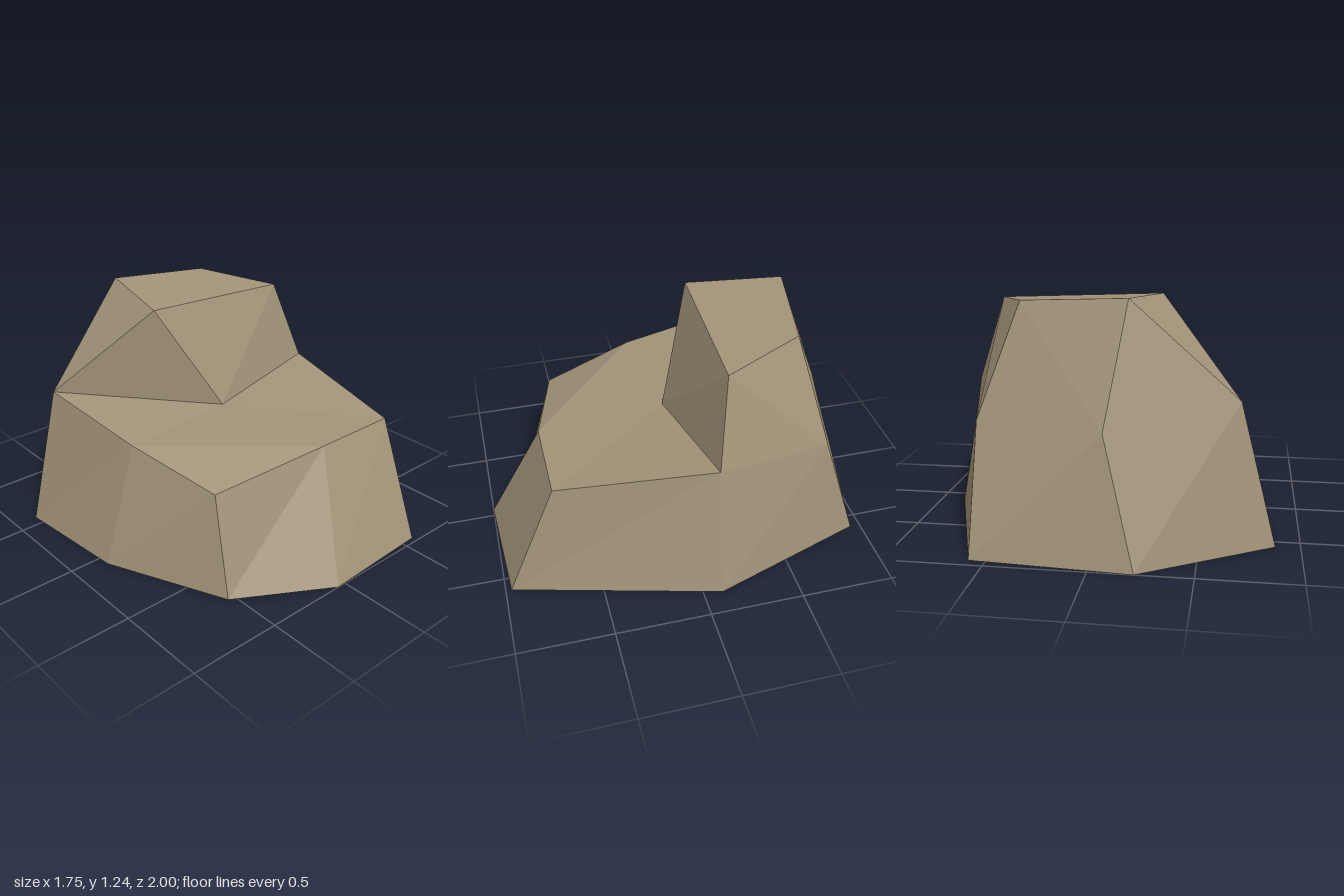
import * as THREE from 'three';

const stone = new THREE.MeshStandardMaterial({ color: 0xa39479, flatShading: true, side: THREE.DoubleSide });
stone.name = 'stone';

// Rings run clockwise seen from above, starting at the back.
const base = [[-0.22, 0, -1], [0.585, 0, -0.945], [0.87, 0, -0.1], [0.585, 0, 0.97],
  [-0.05, 0, 1], [-0.54, 0, 0.71], [-0.82, 0, 0.07], [-0.875, 0, -0.57]];
const rim = [[-0.06, 0.64, -0.9], [0.585, 0.64, -0.735], [0.745, 0.72, -0.1], [0.585, 0.64, 0.71],
  [0.105, 0.64, 0.71], [-0.505, 0.53, 0.57], [-0.63, 0.64, 0.07], [-0.69, 0.735, -0.57]];
const peak = [[-0.155, 1.24, -0.7], [0.39, 1.21, -0.595], [0.585, 1.175, -0.17], [-0.27, 1.21, -0.19]];
const notch = [0.03, 0.645, 0.015]; // where the peak meets the ledge

// Flat-shaded mesh from convex faces given counter-clockwise.
function facets(name, faces) {
  const positions = [];
  for (const f of faces) {
    for (let i = 1; i < f.length - 1; i++) positions.push(...f[0], ...f[i], ...f[i + 1]);
  }
  const geometry = new THREE.BufferGeometry();
  geometry.setAttribute('position', new THREE.Float32BufferAttribute(positions, 3));
  geometry.computeVertexNormals();
  const mesh = new THREE.Mesh(geometry, stone);
  mesh.name = name;
  return mesh;
}

export function createModel() {
  const rock = new THREE.Group();
  rock.name = 'rock';

  // Sloping sides, open underneath
  rock.add(facets('sides', base.map((b, i) => {
    const j = (i + 1) % base.length;
    return [base[j], b, rim[i], rim[j]];
  })));

  // Low ledge at the front
  rock.add(facets('ledge', [
    [rim[7], rim[6], notch],
    [rim[6], rim[4], notch],
    [rim[6], rim[5], rim[4]],
    [notch, rim[4], rim[3]],
    [notch, rim[3], rim[2]],
  ]));

  // Raised peak at the back
  rock.add(facets('peak', [
    [notch, rim[2], peak[2]],
    [notch, peak[2], peak[3]],
    [notch, peak[3], rim[7]],
    [rim[7], peak[3], peak[0]],
    [rim[7], peak[0], rim[0]],
    [rim[0], peak[0], peak[1], rim[1]],
    [rim[1], peak[1], peak[2], rim[2]],
    [peak[0], peak[3], peak[2], peak[1]],
  ]));

  return rock;
}
